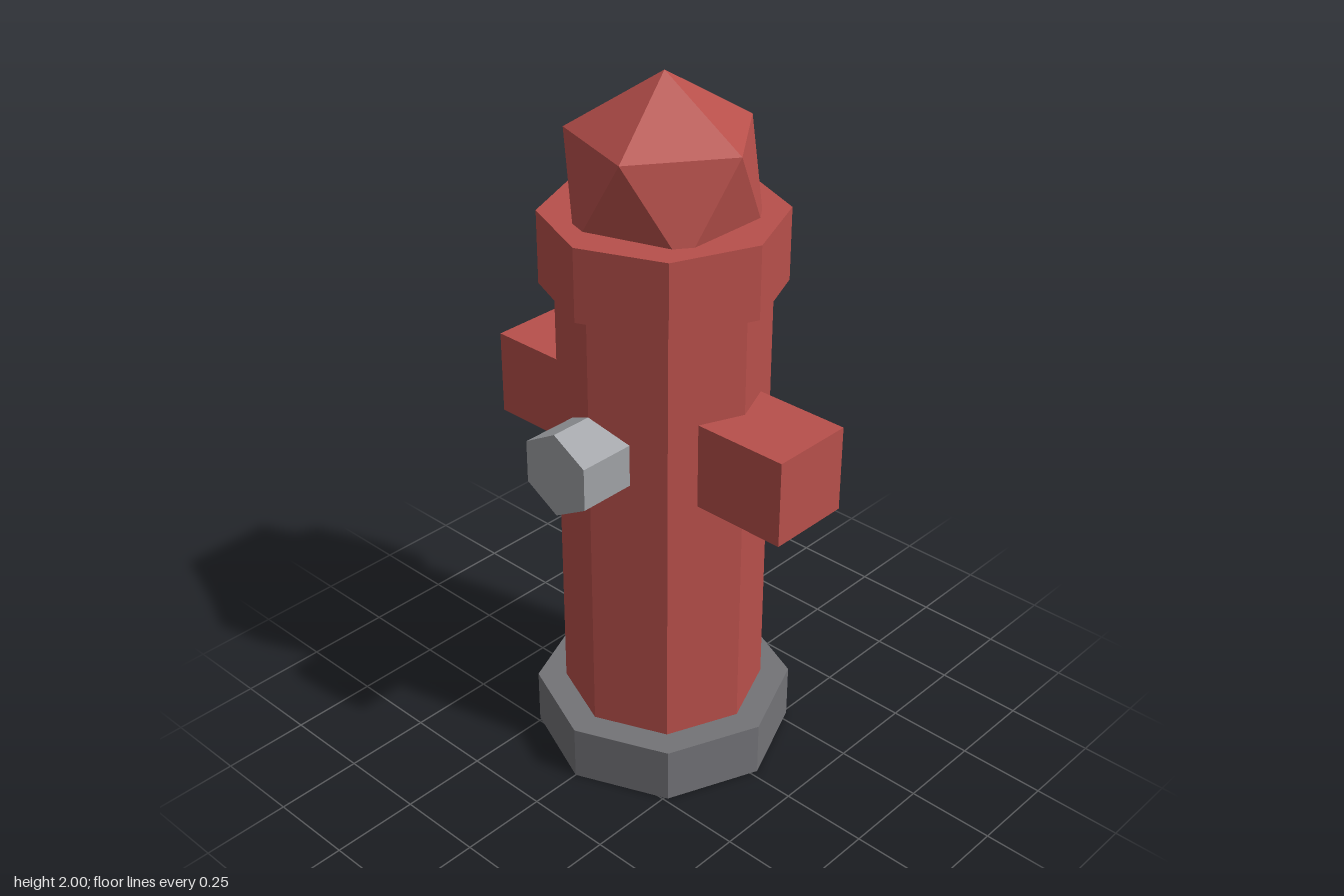
import * as THREE from 'three';

const AXIS_Z = -0.02; // barrel axis sits slightly behind the centre

function paint(name, color) {
  const m = new THREE.MeshStandardMaterial({ color, flatShading: true });
  m.name = name;
  return m;
}

export function createModel() {
  const red = paint('red paint', 0xb8504b);
  const darkGrey = paint('dark grey iron', 0x737377);
  const lightGrey = paint('light grey steel', 0xa0a2a6);

  const model = new THREE.Group();
  model.name = 'fireHydrant';

  function add(name, geometry, material, x, y, z = AXIS_Z) {
    const mesh = new THREE.Mesh(geometry, material);
    mesh.name = name;
    mesh.position.set(x, y, z);
    model.add(mesh);
    return mesh;
  }

  // Eight-sided prism between two heights
  function octagon(name, radius, y0, y1, material) {
    add(name, new THREE.CylinderGeometry(radius, radius, y1 - y0, 8), material, 0, (y0 + y1) / 2);
  }

  octagon('base', 0.367, 0, 0.163, darkGrey);
  octagon('barrel', 0.285, 0.01, 1.44, red);
  octagon('collar', 0.325, 1.432, 1.635, red);

  // Faceted dome, turned so one corner points straight up
  const dome = new THREE.IcosahedronGeometry(0.285, 0);
  dome.rotateZ(-Math.atan(2 / (1 + Math.sqrt(5))));
  add('dome', dome, red, 0, 1.715);

  // Square side outlets, sunk into the barrel
  for (const side of [1, -1]) {
    add(side > 0 ? 'leftOutlet' : 'rightOutlet',
      new THREE.BoxGeometry(0.31, 0.245, 0.245), red, side * 0.355, 1.023);
  }

  // Hexagonal front cap
  const cap = new THREE.CylinderGeometry(0.121, 0.121, 0.225, 6);
  cap.rotateX(Math.PI / 2);
  add('frontCap', cap, lightGrey, 0, 1.024, 0.2745);

  return model;
}
